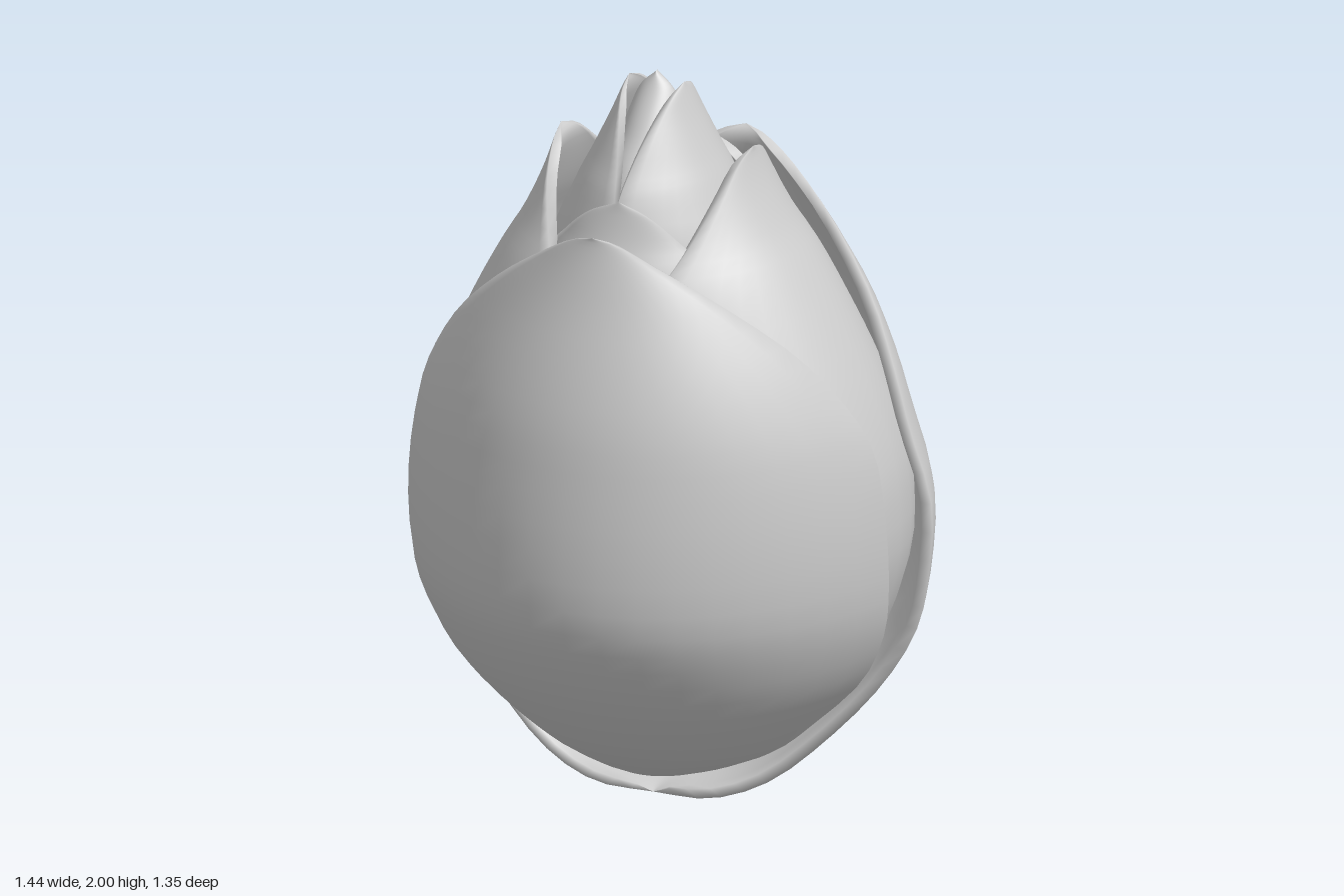
import * as THREE from 'three';

const ROWS = 36, COLS = 18;

// Petal cross-sections, bottom to tip: [height, half width, depth at the middle, depth at the edge, arc angle]
const OUTER_TOP = [
  [0.65, 0.69, 0.67, 0.08, 1.25], [0.85, 0.69, 0.675, 0.1, 1.25],
  [1.05, 0.66, 0.655, 0.11, 1.25], [1.2, 0.59, 0.63, 0.16, 1.22],
  [1.35, 0.48, 0.585, 0.24, 1.15], [1.5, 0.32, 0.53, 0.35, 1.05],
  [1.61, 0.17, 0.495, 0.43, 0.9], [1.67, 0.07, 0.48, 0.465, 0.8], [1.69, 0, 0.48, 0.48, 0.8],
];
const FRONT = [
  [0.03, 0, 0, 0, 1.3], [0.04, 0.15, 0.13, -0.03, 1.3], [0.1, 0.31, 0.24, -0.02, 1.3],
  [0.2, 0.43, 0.37, 0, 1.3], [0.35, 0.58, 0.51, 0.02, 1.28], [0.5, 0.66, 0.61, 0.05, 1.25],
  ...OUTER_TOP,
];
// The back petal wraps under the base and a little around the front one
const BACK = [
  [0, 0, -0.14, -0.14, 1.3], [0.006, 0.17, 0.1, -0.14, 1.3], [0.07, 0.33, 0.22, -0.11, 1.3],
  [0.2, 0.48, 0.37, -0.07, 1.3], [0.35, 0.61, 0.51, -0.02, 1.28], [0.5, 0.69, 0.61, 0.03, 1.25],
  ...OUTER_TOP.map(([y, w, d, e, a]) => [y, w * (y < 1 ? 1.035 : 0.98), d, e - 0.02 * (w > 0.5), a]),
];
const SIDE = [
  [0.06, 0, 0, 0, 1.35], [0.09, 0.2, 0.18, 0, 1.35], [0.2, 0.35, 0.37, 0, 1.35],
  [0.4, 0.5, 0.56, 0.02, 1.35], [0.65, 0.57, 0.665, 0.05, 1.35], [0.85, 0.59, 0.68, 0.05, 1.35],
  [1.0, 0.57, 0.66, 0.05, 1.35], [1.17, 0.52, 0.605, 0.06, 1.3], [1.35, 0.45, 0.52, 0.1, 1.25],
  [1.5, 0.37, 0.435, 0.15, 1.2], [1.6, 0.28, 0.37, 0.2, 1.1], [1.71, 0.18, 0.315, 0.245, 0.9],
  [1.79, 0.085, 0.285, 0.268, 0.8], [1.82, 0, 0.28, 0.28, 0.8],
];
const INNER = [
  [0.1, 0, 0, 0, 1.35], [0.13, 0.16, 0.15, 0, 1.35], [0.4, 0.36, 0.38, 0, 1.35],
  [0.8, 0.44, 0.5, 0.03, 1.3], [1.2, 0.39, 0.47, 0.08, 1.3], [1.5, 0.27, 0.39, 0.2, 1.15],
  [1.62, 0.17, 0.335, 0.265, 1], [1.69, 0.09, 0.31, 0.29, 0.8], [1.73, 0, 0.3, 0.3, 0.8],
];
const INNERMOST = [
  [0.18, 0, 0, 0, 1.35], [0.22, 0.14, 0.14, 0, 1.35], [0.5, 0.28, 0.3, 0, 1.35],
  [1.0, 0.37, 0.4, 0, 1.35], [1.5, 0.33, 0.29, -0.01, 1.3], [1.69, 0.28, 0.215, 0.003, 1.2],
  [1.79, 0.22, 0.165, 0.02, 1.1], [1.88, 0.15, 0.122, 0.045, 1], [1.95, 0.075, 0.092, 0.07, 0.9],
  [1.98, 0, 0.08, 0.08, 0.8],
];
const CORE = [
  [0.6, 0, 0, 0, 1.4], [0.7, 0.1, 0.12, 0, 1.4], [1.4, 0.16, 0.25, 0, 1.4], [1.7, 0.13, 0.23, 0, 1.3],
  [1.85, 0.09, 0.12, 0, 1.3], [1.95, 0.05, 0.04, 0, 1.2], [2.0, 0, 0.005, 0, 1.2],
];

// A thick curved shell facing +z, lofted through smoothed cross-sections
function petalGeometry(keys, thickness) {
  const shape = new THREE.CatmullRomCurve3(
    keys.map(([y, w, d]) => new THREE.Vector3(y, w, d)), false, 'catmullrom', 0.5);
  const edge = new THREE.CatmullRomCurve3(
    keys.map(([, , , e, a]) => new THREE.Vector3(e, a, 0)), false, 'catmullrom', 0.5);
  const positions = [], index = [];
  const loop = 2 * (COLS + 1);
  for (let i = 0; i <= ROWS; i++) {
    const v = i / ROWS;
    const { x: y, y: width, z: depth } = shape.getPoint(v);
    const { x: edgeDepth, y: angle } = edge.getPoint(v);
    const w = Math.max(width, 0);
    const t = thickness * Math.min(1, w / 0.1);
    for (let j = 0; j < loop; j++) {
      const inside = j > COLS;
      const s = (inside ? loop - 1 - j : j) / COLS * 2 - 1;
      const sin = Math.sin(angle * s), cos = Math.cos(angle * s);
      const x = w * sin / Math.sin(angle);
      const z = edgeDepth + (depth - edgeDepth) * (cos - Math.cos(angle)) / (1 - Math.cos(angle));
      const off = inside ? t : 0;
      positions.push(x - off * sin, y + off * (1 - v) ** 3, z - off * cos);
    }
  }
  for (let i = 0; i < ROWS; i++) {
    for (let j = 0; j < loop; j++) {
      const k = (j + 1) % loop;
      const a = i * loop + j, b = i * loop + k, c = a + loop, d = b + loop;
      index.push(a, b, d, a, d, c);
    }
  }
  const geometry = new THREE.BufferGeometry();
  geometry.setAttribute('position', new THREE.Float32BufferAttribute(positions, 3));
  geometry.setIndex(index);
  geometry.computeVertexNormals();
  return geometry;
}

export function createModel() {
  const group = new THREE.Group();
  group.name = 'flowerBud';
  const material = new THREE.MeshStandardMaterial({ color: 0xcccccc, side: THREE.DoubleSide });

  function addPetal(name, keys, turn, x, thickness = 0.03, lean = 0) {
    const mesh = new THREE.Mesh(petalGeometry(keys, thickness), material);
    mesh.name = name;
    mesh.rotation.set(0, turn, lean, 'ZYX');
    mesh.position.x = x;
    group.add(mesh);
  }

  // Outer pair
  addPetal('outerFrontPetal', FRONT, 0, -0.03);
  addPetal('outerBackPetal', BACK, Math.PI, 0);

  // Nested pairs, each turned a quarter from the one around it; the side pair leans slightly
  const quarter = Math.PI / 2;
  addPetal('leftPetal', SIDE, quarter, 0, 0.03, 0.027);
  addPetal('rightPetal', SIDE, -quarter, 0, 0.03, 0.027);
  addPetal('innerFrontPetal', INNER, 0, -0.03);
  addPetal('innerBackPetal', INNER, Math.PI, -0.03);
  addPetal('innermostLeftPetal', INNERMOST, quarter, -0.05, 0.02);
  addPetal('innermostRightPetal', INNERMOST, -quarter, -0.05, 0.02);

  // Closed core
  addPetal('coreFront', CORE, 0, -0.05, 0.004);
  addPetal('coreBack', CORE, Math.PI, -0.05, 0.004);
  return group;
}
